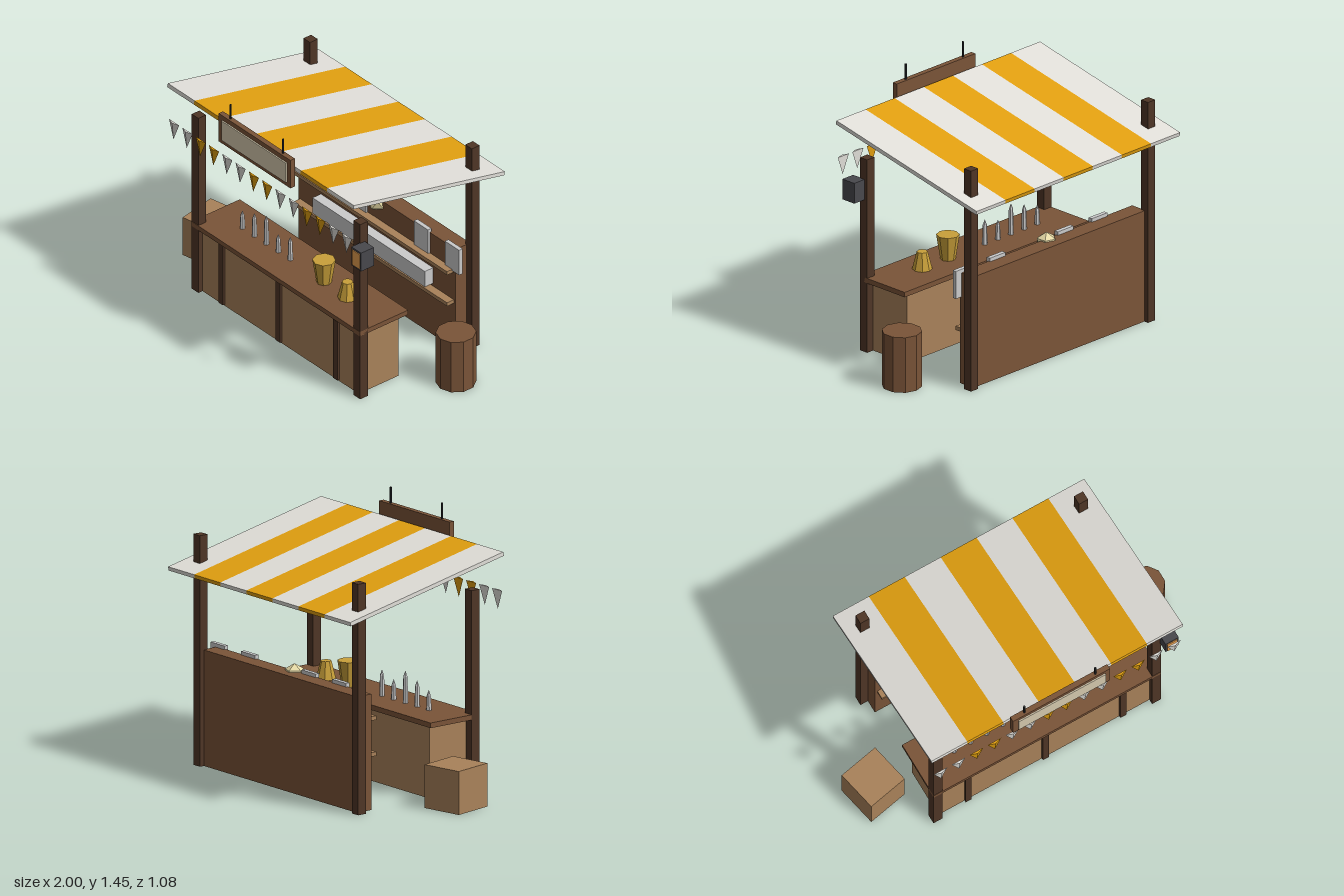
import * as THREE from 'three';

const mat = (color) => new THREE.MeshStandardMaterial({ color, flatShading: true });
const M = {
  dark: mat(0x4f3626), wood: mat(0x7a5438), light: mat(0xa9825a),
  cloth: mat(0xe2e0da), orange: mat(0xe2a010), brass: mat(0xc9a03a),
  iron: mat(0x2b2d30), lantern: mat(0x48484d), glow: mat(0xe8a050),
  paper: mat(0xd8ccb0), glass: mat(0xd4d4d0), crystal: mat(0xe8dca8),
};

export function createModel() {
  const root = new THREE.Group();
  root.name = 'marketStall';
  const CX = 0.015; // centre line of the stall

  const add = (name, geometry, material, x, y, z, parent = root) => {
    const mesh = new THREE.Mesh(geometry, material);
    mesh.name = name;
    mesh.position.set(x, y, z);
    parent.add(mesh);
    return mesh;
  };
  // box given by its limits on each axis
  const block = (name, material, [x0, x1], [y0, y1], [z0, z1]) =>
    add(name, new THREE.BoxGeometry(x1 - x0, y1 - y0, z1 - z0), material,
      (x0 + x1) / 2, (y0 + y1) / 2, (z0 + z1) / 2);
  // tapered cylinder standing on y
  const drum = (name, material, rTop, rBottom, h, sides, x, y, z) =>
    add(name, new THREE.CylinderGeometry(rTop, rBottom, h, sides), material, x, y + h / 2, z);

  // posts
  for (const side of [-1, 1]) {
    const x = CX + side * 0.663;
    block('frontPost', M.dark, [x - 0.027, x + 0.027], [0, 1.094], [0.336, 0.388]);
    block('backPost', M.dark, [x - 0.027, x + 0.027], [0, 1.25], [-0.427, -0.375]);
  }

  // counter
  block('counterBody', M.light, [-0.63, 0.66], [0, 0.395], [0.088, 0.36]);
  block('counterTop', M.wood, [-0.675, 0.705], [0.394, 0.422], [0.06, 0.39]);
  for (const i of [-1, 0, 1]) {
    const x = CX + i * 0.469;
    block('counterSlat', M.dark, [x - 0.018, x + 0.018], [0.01, 0.378], [0.35, 0.375]);
  }

  // back wall and shelves
  block('backWall', M.wood, [-0.63, 0.66], [0, 0.628], [-0.4, -0.302]);
  for (const y of [0.283, 0.478])
    block('shelf', M.light, [-0.615, 0.645], [y, y + 0.022], [-0.31, -0.255]);
  block('shelfBox', M.glass, [-0.445, 0.475], [0.323, 0.42], [-0.305, -0.245]);
  for (const i of [-2, -1, 1, 2]) {
    const x = 0.135 + i * 0.2545;
    block('shelfPanel', M.glass, [x - 0.058, x + 0.058], [0.492, 0.648], [-0.314, -0.29]);
  }
  add('crystal', new THREE.IcosahedronGeometry(0.058, 0), M.crystal, 0.013, 0.609, -0.303)
    .rotation.z = Math.atan(1 / 1.618);

  // striped awning with two pennants under each stripe
  const awning = new THREE.Group();
  awning.name = 'awning';
  awning.position.set(CX, 1.174, -0.022);
  awning.rotation.x = -0.2086;
  root.add(awning);
  const stripe = 1.525 / 7;
  for (let i = 0; i < 7; i++) {
    const material = i % 2 ? M.orange : M.cloth;
    const x = (i - 3) * stripe;
    add('awningStripe', new THREE.BoxGeometry(stripe, 0.022, 1.053), material, x, 0, 0, awning);
    for (const s of [-0.25, 0.25]) {
      const flag = add('pennant', new THREE.ConeGeometry(0.048, 0.105, 3), material,
        CX + x + s * stripe, 1.026, 0.498);
      flag.rotation.z = Math.PI;
      flag.scale.z = 0.2;
    }
  }

  // hanging sign
  block('signBoard', M.wood, [-0.278, 0.31], [1.185, 1.36], [0.505, 0.535]);
  block('signPanel', M.paper, [-0.246, 0.281], [1.21, 1.332], [0.53, 0.543]);
  for (const side of [-1, 1])
    drum('signRod', M.iron, 0.006, 0.006, 0.1, 6, CX + side * 0.215, 1.347, 0.519);

  // lantern on the left front post
  block('lantern', M.lantern, [0.7, 0.78], [0.862, 0.977], [0.357, 0.444]);
  block('lanternGlow', M.glow, [0.71, 0.771], [0.873, 0.966], [0.44, 0.449]);

  // bottles on the counter
  [0.08, 0.112, 0.145, 0.08, 0.112].forEach((h, i) => {
    const x = -0.455 + i * 0.098;
    drum('bottle', M.glass, 0.012, 0.015, h, 6, x, 0.42, 0.225);
    drum('bottleTip', M.glass, 0, 0.012, 0.032, 6, x, 0.42 + h, 0.225);
  });

  // flared and tapered pots
  drum('flaredPot', M.brass, 0.062, 0.04, 0.14, 8, 0.213, 0.42, 0.225);
  drum('taperedPot', M.brass, 0.029, 0.054, 0.1, 8, 0.406, 0.42, 0.225);

  // barrel and crate beside the stall
  drum('barrel', M.wood, 0.107, 0.107, 0.312, 10, 0.896, 0, -0.107);
  add('crate', new THREE.BoxGeometry(0.234, 0.235, 0.234), M.light, -0.862, 0.1175, 0.08)
    .rotation.y = 0.2;

  return root;
}
